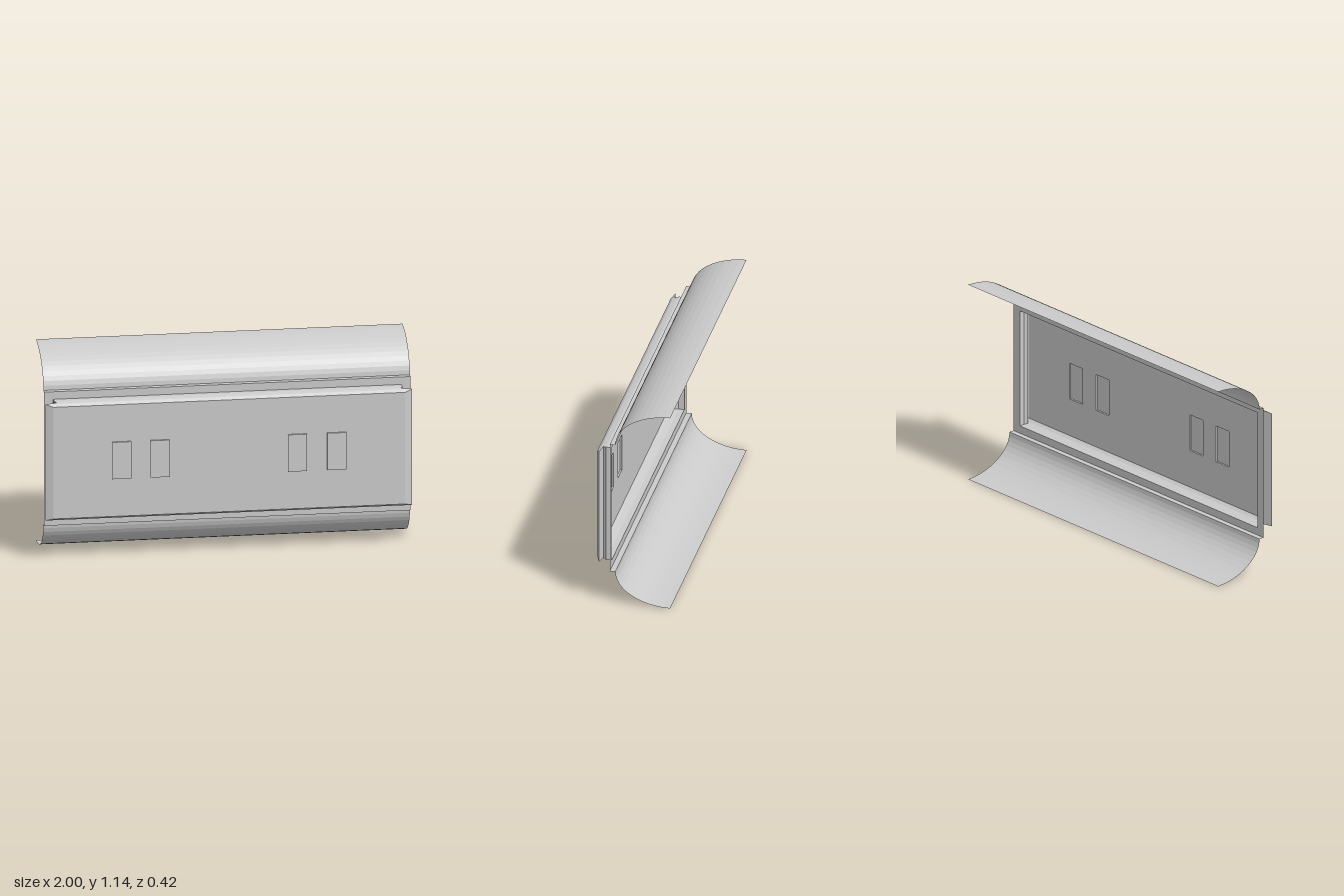
import * as THREE from 'three';

const material = new THREE.MeshStandardMaterial({
  color: 0xcccccc, flatShading: true, side: THREE.DoubleSide,
});
const midY = 0.573;

// Skins a series of cross-sections with equal point counts
function loft(rows, closed = false) {
  const n = rows[0].length, index = [];
  for (let r = 0; r < rows.length - 1; r++) {
    for (let i = 0; i < (closed ? n : n - 1); i++) {
      const a = r * n + i, b = r * n + (i + 1) % n, c = a + n, d = b + n;
      index.push(a, b, d, a, d, c);
    }
  }
  const g = new THREE.BufferGeometry();
  g.setAttribute('position', new THREE.Float32BufferAttribute(rows.flat(2), 3));
  g.setIndex(index);
  g.computeVertexNormals();
  return g;
}

// Counter-clockwise rectangle as corner points at depth z
function rect(cx, cy, hx, hy, z) {
  return [[cx - hx, cy - hy, z], [cx + hx, cy - hy, z], [cx + hx, cy + hy, z], [cx - hx, cy + hy, z]];
}

// Flat sheet with rectangular holes
function sheet(outer, holes, z) {
  const toPoints = (pts) => pts.map(([x, y]) => new THREE.Vector2(x, y));
  const shape = new THREE.Shape(toPoints(outer));
  holes.forEach((h) => shape.holes.push(new THREE.Path(toPoints(h).reverse())));
  return new THREE.ShapeGeometry(shape).translate(0, 0, z);
}

export function createModel() {
  const model = new THREE.Group();
  const add = (name, geometry) => {
    const mesh = new THREE.Mesh(geometry, material);
    mesh.name = name;
    model.add(mesh);
  };

  // Curved shells above and below, each joined to the frame by a narrow ledge
  for (const side of [1, -1]) {
    const profile = [[side * 0.381, 0.123]];
    const steps = 12;
    for (let i = 0; i <= steps; i++) {
      const t = (i / steps) * Math.PI / 2;
      profile.push([side * (0.381 + 0.191 * Math.sin(t)), -0.21 + 0.303 * Math.cos(t)]);
    }
    const rows = [-side, side].map((x) => profile.map(([y, z]) => [x, midY + y, z]));
    add(side > 0 ? 'upperShell' : 'lowerShell', loft(rows));
  }

  // Flat frame around the tray opening
  add('frame', sheet(rect(0, midY, 1, 0.381), [rect(0, midY, 0.95, 0.338)], 0.123));

  // Tray wall: straight, pinched, then flared to a lip and bevelled to the panel
  const wall = [
    [0.95, 0.338, 0.123], [0.95, 0.338, 0.155], [0.938, 0.334, 0.172],
    [1, 0.331, 0.183], [0.96, 0.318, 0.2],
  ];
  add('trayWall', loft(wall.map(([hx, hy, z]) => rect(0, midY, hx, hy, z)), true));

  // Front panel with four raised, hollow-backed pads
  const pads = [-0.588, -0.378, 0.372, 0.586];
  const pad = (x, z) => rect(x, midY + 0.002, 0.052, 0.105, z);
  add('frontPanel', sheet(rect(0, midY, 0.96, 0.318), pads.map((x) => pad(x, 0)), 0.2));
  pads.forEach((x, i) => {
    add(`padRim${i + 1}`, loft([pad(x, 0.2), pad(x, 0.21)], true));
    add(`padFace${i + 1}`, sheet(pad(x, 0), [], 0.21));
  });

  return model;
}
